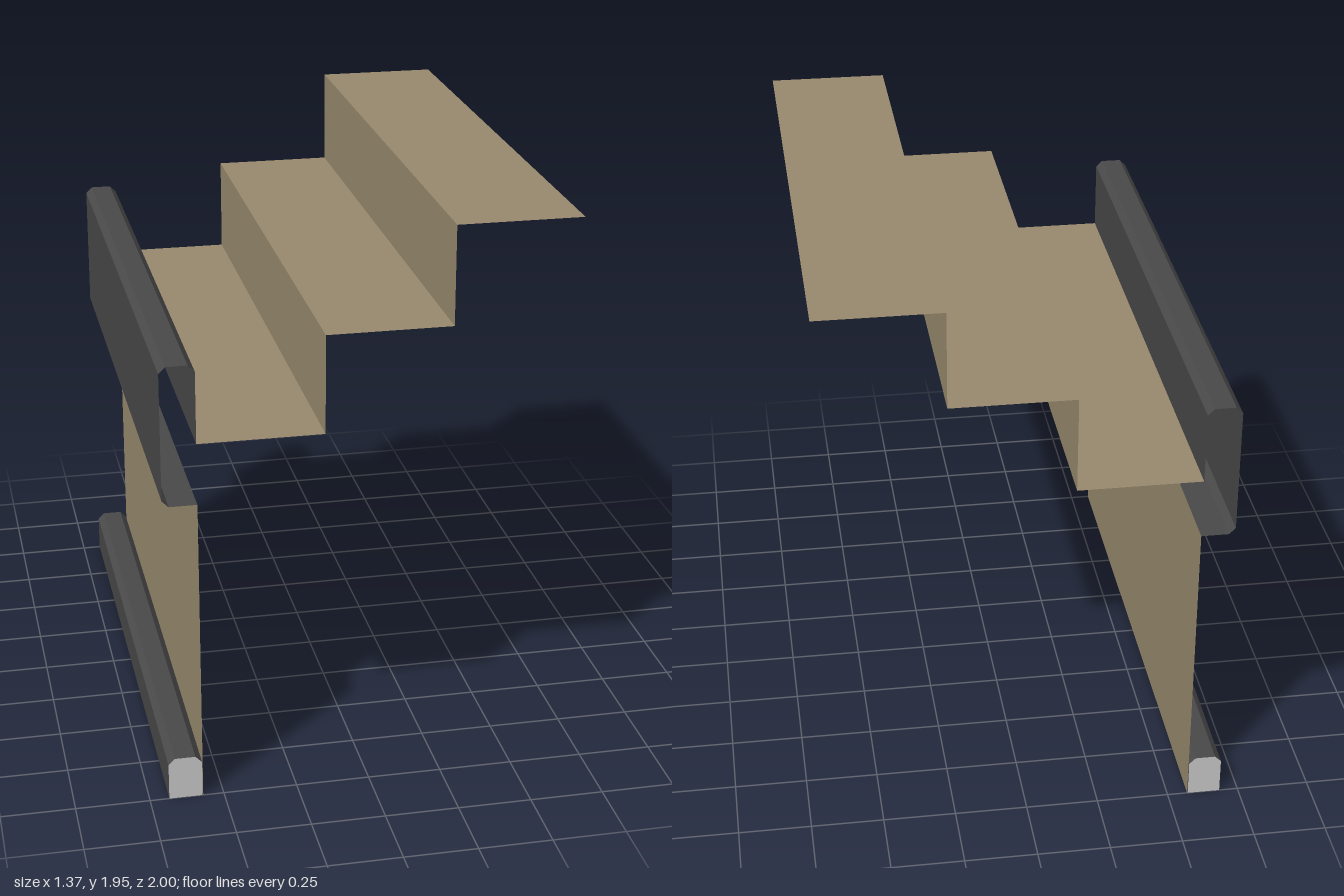
import * as THREE from 'three';

const L = -0.685, R = -0.57, C = 0.022; // rail sides and chamfer

function material(name, color) {
  const m = new THREE.MeshStandardMaterial({ color, side: THREE.DoubleSide });
  m.name = name;
  return m;
}

// Sweeps an open x/y profile along z as a thin folded sheet
function sheet(name, profile, mat) {
  const pos = [];
  for (let i = 0; i < profile.length - 1; i++) {
    const [ax, ay] = profile[i], [bx, by] = profile[i + 1];
    pos.push(ax, ay, 1, ax, ay, -1, bx, by, -1);
    pos.push(ax, ay, 1, bx, by, -1, bx, by, 1);
  }
  const g = new THREE.BufferGeometry();
  g.setAttribute('position', new THREE.Float32BufferAttribute(pos, 3));
  g.computeVertexNormals();
  const mesh = new THREE.Mesh(g, mat);
  mesh.name = name;
  return mesh;
}

// Chamfered top of a rail, running from its inner side to its outer side
const railTop = (y, inner) => [[inner, y - C], [inner - C, y], [L + C, y], [L, y - C]];

export function createModel() {
  const tan = material('tan sheet', 0x9a8b6e);
  const dark = material('dark grey trim', 0x4a4a4a);
  const light = material('light grey cap', 0xcacaca);
  const model = new THREE.Group();
  model.name = 'steppedRoof';

  // Wall below the upper rail
  model.add(sheet('wallPanel', [[R, 0], [R, 1.07]], tan));

  // Three treads rising towards +x, joined by risers
  const run = 0.417, rise = 0.335, steps = [[R, 1.28]];
  for (let i = 0; i < 3; i++) {
    const x = R + run * (i + 1), y = 1.28 + rise * i;
    steps.push([x, y]);
    if (i < 2) steps.push([x, y + rise]);
  }
  model.add(sheet('steppedPanel', steps, tan));

  // Upper rail: open ended, with a slot on the inner side
  model.add(sheet('upperRail',
    [[R, 1.28], ...railTop(1.547, R), [L, 1.07 + C], [L + C, 1.07], [R, 1.07]], dark));

  // Base rail: open underneath, set just behind the wall
  const base = [[R - 0.002, 0], ...railTop(0.15, R - 0.002), [L, 0]];
  model.add(sheet('baseRail', base, dark));

  // Base rail end caps
  const capShape = new THREE.Shape(base.map(([x, y]) => new THREE.Vector2(x, y)));
  for (const [name, z] of [['frontCap', 1], ['backCap', -1]]) {
    const cap = new THREE.Mesh(new THREE.ShapeGeometry(capShape), light);
    cap.name = name;
    // Mirror the rear cap so it faces outwards
    if (z < 0) {
      cap.rotation.y = Math.PI;
      cap.position.x = L + R - 0.002;
    }
    cap.position.z = z;
    model.add(cap);
  }
  return model;
}
